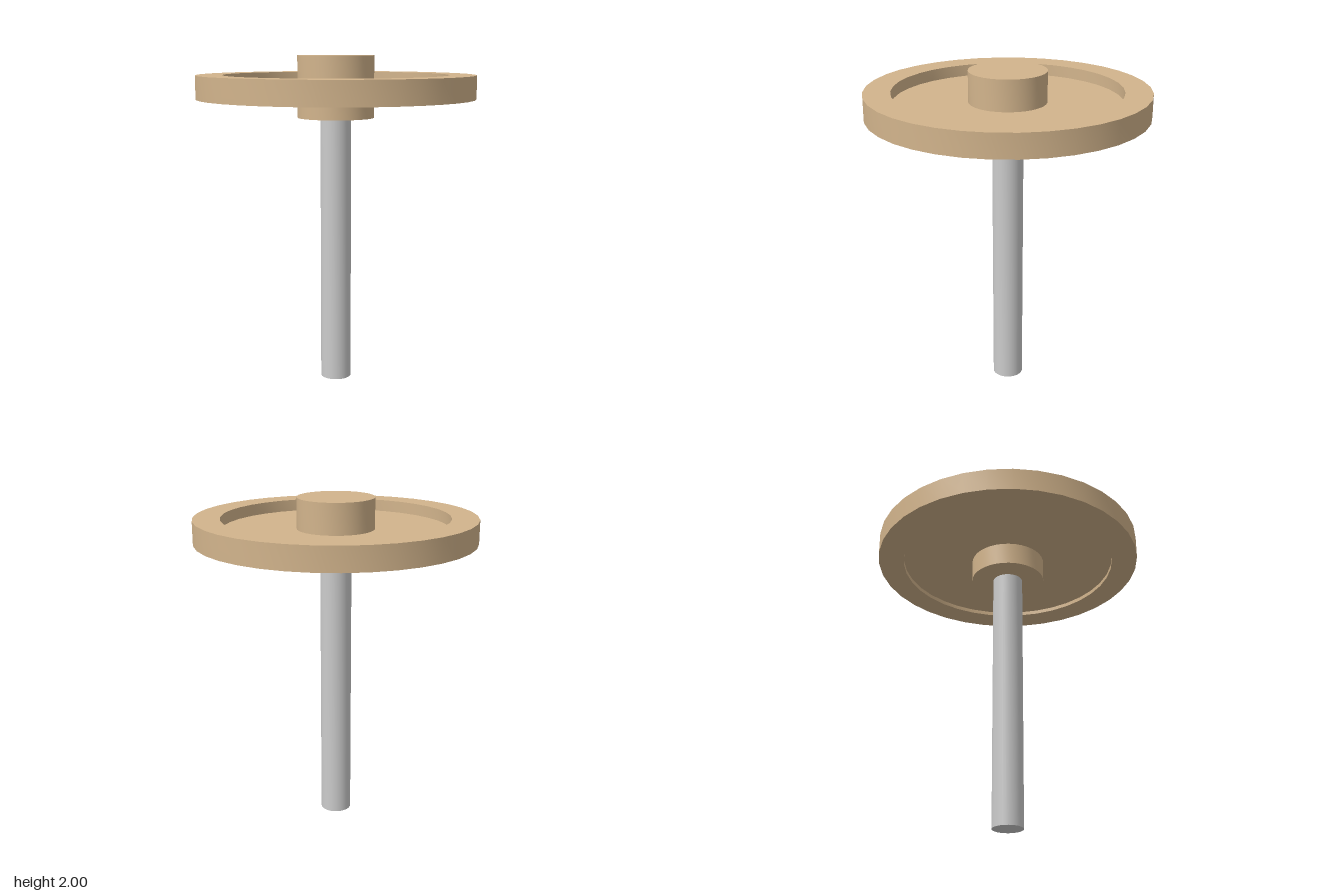
import * as THREE from 'three';
import { toCreasedNormals } from 'three/addons/utils/BufferGeometryUtils.js';

const SIDES = 36;

// Turned solid from a [radius, height] profile, listed from bottom to top
function turned(name, profile, color) {
  const points = profile.map(([r, y]) => new THREE.Vector2(r, y));
  const geometry = toCreasedNormals(new THREE.LatheGeometry(points, SIDES), 0.6);
  const mesh = new THREE.Mesh(geometry, new THREE.MeshStandardMaterial({ color }));
  mesh.name = name;
  return mesh;
}

export function createModel() {
  const model = new THREE.Group();
  model.name = 'wheelOnShaft';

  const hub = 0.23, rimInner = 0.675, rimOuter = 0.835;

  // Wheel: protruding hub, thin web recessed on both faces, thick rim
  model.add(turned('wheel', [
    [0, 1.63], [hub, 1.63], [hub, 1.77],
    [rimInner, 1.77], [rimInner, 1.745], [rimOuter, 1.745],
    [rimOuter, 1.885], [rimInner, 1.885], [rimInner, 1.815],
    [hub, 1.815], [hub, 2], [0, 2],
  ], 0xd2b48c));

  // Shaft: plain rod ending just inside the hub
  model.add(turned('shaft', [
    [0, 0], [0.093, 0], [0.093, 1.64], [0, 1.64],
  ], 0xcccccc));

  return model;
}
